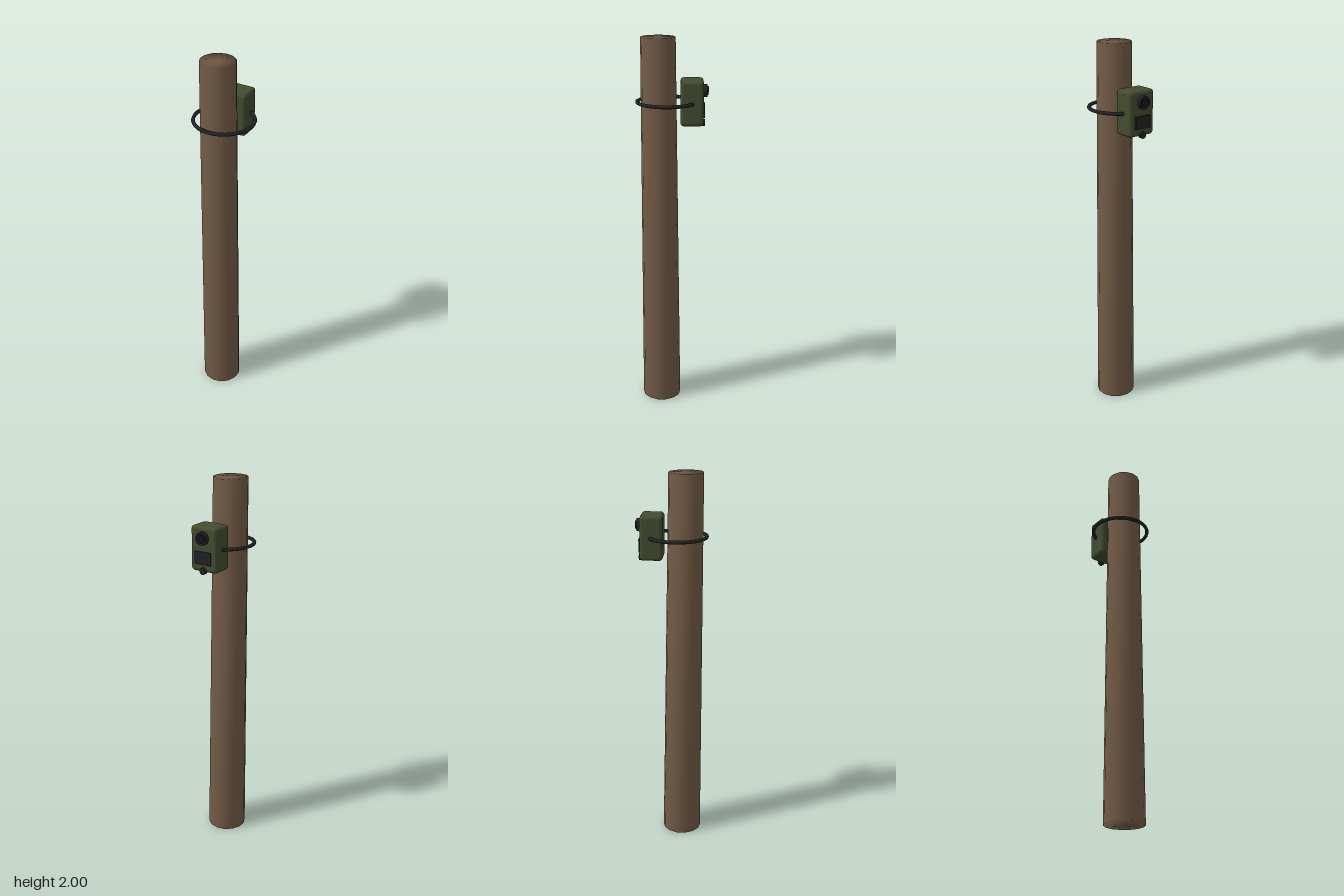
import * as THREE from 'three';
import { mergeVertices } from 'three/addons/utils/BufferGeometryUtils.js';
import { RoundedBoxGeometry } from 'three/addons/geometries/RoundedBoxGeometry.js';

const material = (name, color) => {
  const m = new THREE.MeshStandardMaterial({ color });
  m.name = name;
  return m;
};

export function createModel() {
  const group = new THREE.Group();
  const bark = material('bark brown', 0x735b46);
  const green = material('olive green', 0x434c30);
  const black = material('rubber black', 0x222224);
  const glass = material('dark glass', 0x17171a);

  const add = (name, geometry, mat, x, y, z) => {
    const mesh = new THREE.Mesh(geometry, mat);
    mesh.name = name;
    mesh.position.set(x, y, z);
    group.add(mesh);
    return mesh;
  };

  // Leaning, tapered trunk; welded so the shading runs smoothly over the ends
  let trunk = new THREE.CylinderGeometry(0.089, 0.104, 2, 14, 1);
  trunk.translate(0, 1, 0);
  const p = trunk.attributes.position;
  for (let i = 0; i < p.count; i++) {
    const t = p.getY(i) / 2;
    p.setX(i, p.getX(i) - 0.007 * t);
    p.setZ(i, p.getZ(i) + 0.014 * t);
  }
  trunk.deleteAttribute('normal');
  trunk.deleteAttribute('uv');
  trunk = mergeVertices(trunk, 1e-4);
  trunk.computeVertexNormals();
  add('trunk', trunk, bark, 0, 0, 0.058);

  // Strap around the trunk
  const strap = new THREE.TorusGeometry(0.152, 0.0095, 8, 32);
  strap.rotateX(Math.PI / 2);
  add('strap', strap, black, 0, 1.675, 0.028);

  // Camera housing strapped to the back
  add('cameraHousing', new RoundedBoxGeometry(0.154, 0.23, 0.118, 3, 0.018), green, 0, 1.675, -0.101);

  // Discs on the camera's outer face, from zNear to zFar
  const disc = (name, radius, y, zNear, zFar, mat) => {
    const g = new THREE.CylinderGeometry(radius, radius, zNear - zFar, 20);
    g.rotateX(Math.PI / 2);
    add(name, g, mat, 0, y, (zNear + zFar) / 2);
  };
  disc('lensRing', 0.033, 1.733, -0.155, -0.179, black);
  disc('lensGlass', 0.023, 1.733, -0.175, -0.185, glass);
  disc('sensor', 0.018, 1.567, -0.15, -0.169, black);

  // Infrared panel below the lens
  add('infraredPanel', new THREE.BoxGeometry(0.095, 0.065, 0.012), black, 0, 1.632, -0.161);

  return group;
}
